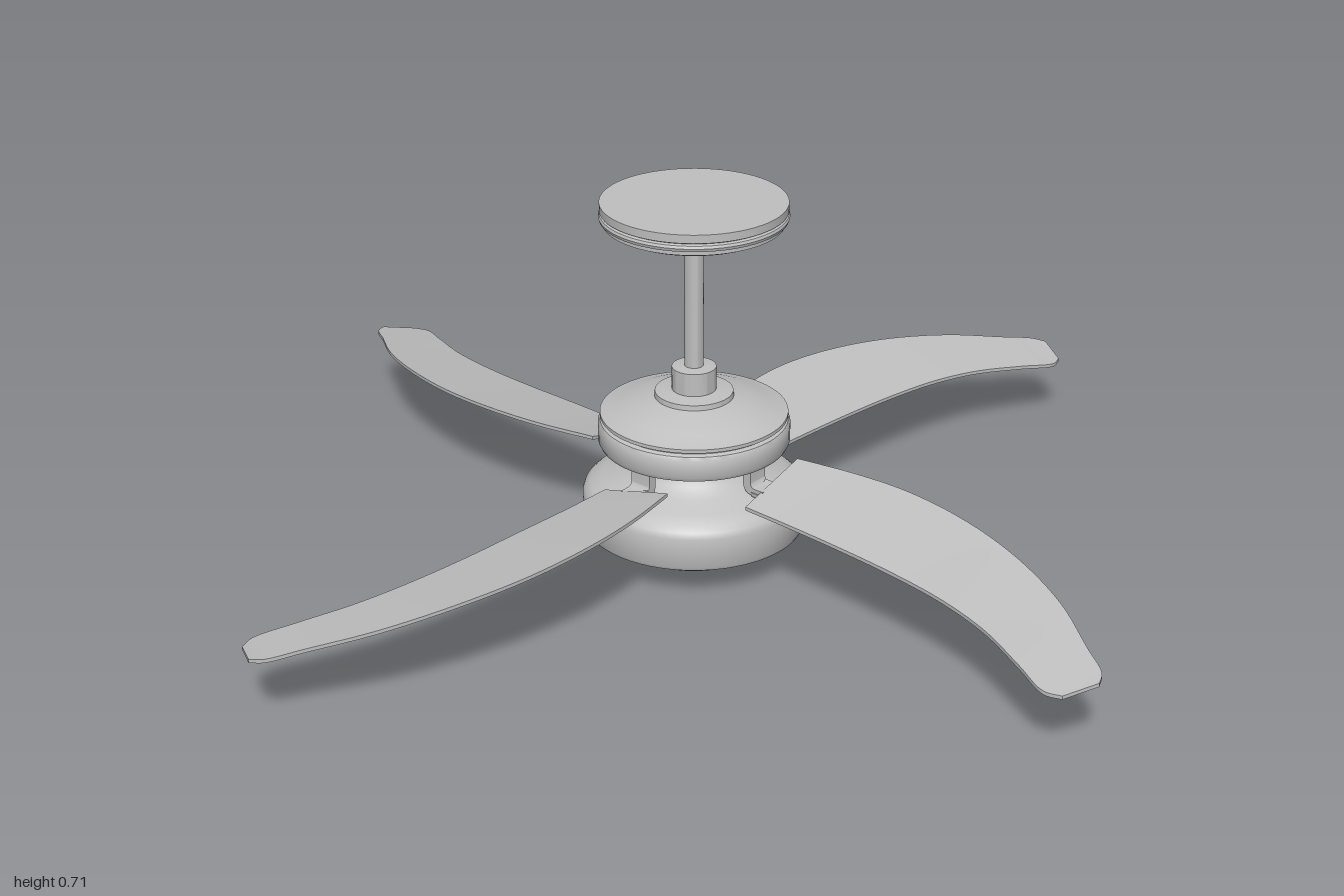
import * as THREE from 'three';
import { toCreasedNormals } from 'three/addons/utils/BufferGeometryUtils.js';

const grey = new THREE.MeshStandardMaterial({ color: 0xc0c0c0 });
grey.name = 'satin grey';

function part(name, geometry, crease = 0.55) {
  const mesh = new THREE.Mesh(toCreasedNormals(geometry, crease), grey);
  mesh.name = name;
  return mesh;
}

// Revolve a bottom-to-top list of [radius, height] pairs
function turned(name, profile) {
  return part(name, new THREE.LatheGeometry(profile.map(([r, y]) => new THREE.Vector2(r, y)), 64));
}

// Curved, pitched blade pointing along +x, lofted between its two edges
function bladeGeometry() {
  const edge = (pts) => new THREE.CatmullRomCurve3(pts.map((p) => new THREE.Vector3(...p)));
  const back = edge([[0.18, 0.21, -0.088], [0.3, 0.209, -0.108], [0.42, 0.207, -0.114], [0.56, 0.199, -0.098],
    [0.7, 0.187, -0.057], [0.83, 0.17, 0.005], [0.93, 0.152, 0.077], [0.985, 0.142, 0.117], [0.997, 0.138, 0.143]]);
  const front = edge([[0.18, 0.168, 0.067], [0.28, 0.166, 0.07], [0.4, 0.164, 0.077], [0.53, 0.16, 0.087],
    [0.65, 0.155, 0.104], [0.76, 0.147, 0.133], [0.86, 0.136, 0.177], [0.93, 0.127, 0.208], [0.962, 0.126, 0.2]]);
  const steps = 40, thick = 0.007, positions = [], index = [];
  for (let i = 0; i <= steps; i++) {
    const b = back.getPoint(i / steps), f = front.getPoint(i / steps);
    positions.push(b.x, b.y, b.z, f.x, f.y, f.z, f.x, f.y - thick, f.z, b.x, b.y - thick, b.z);
    if (i === steps) break;
    for (let k = 0; k < 4; k++) {
      const a = i * 4 + k, c = i * 4 + (k + 1) % 4;
      index.push(a, c, c + 4, a, c + 4, a + 4);
    }
  }
  const e = steps * 4;
  index.push(0, 2, 1, 0, 3, 2, e, e + 1, e + 2, e, e + 2, e + 3);
  const g = new THREE.BufferGeometry();
  g.setAttribute('position', new THREE.Float32BufferAttribute(positions, 3));
  g.setIndex(index);
  return g;
}

// Hook that drops from the motor and turns outward under the blade
function hookGeometry() {
  const s = new THREE.Shape();
  s.moveTo(0.138, 0.228);
  s.lineTo(0.138, 0.19);
  s.quadraticCurveTo(0.138, 0.168, 0.16, 0.168);
  s.lineTo(0.185, 0.168);
  s.lineTo(0.185, 0.182);
  s.lineTo(0.166, 0.182);
  s.quadraticCurveTo(0.155, 0.182, 0.155, 0.195);
  s.lineTo(0.155, 0.228);
  s.closePath();
  return new THREE.ExtrudeGeometry(s, { depth: 0.044, bevelEnabled: false, curveSegments: 8 }).translate(0, 0, -0.022);
}

export function createModel() {
  const fan = new THREE.Group();
  fan.name = 'ceilingFan';

  // Lower housing: shallow bowl, upright rim and flared shoulder
  fan.add(turned('lightBowl', [[0, 0], [0.05, 0.002], [0.1, 0.009], [0.145, 0.022], [0.175, 0.04], [0.19, 0.062]]));
  fan.add(turned('lowerHousing', [[0.186, 0.064], [0.19, 0.058], [0.21, 0.058], [0.213, 0.064], [0.213, 0.122],
    [0.209, 0.134], [0.198, 0.144], [0.175, 0.155], [0.14, 0.168], [0.115, 0.182], [0.1, 0.2], [0.095, 0.23]]));

  // Motor drum with a groove below its domed cover
  fan.add(turned('motorHousing', [[0, 0.214], [0.11, 0.214], [0.125, 0.222], [0.168, 0.222], [0.178, 0.226], [0.182, 0.234],
    [0.182, 0.268], [0.178, 0.275], [0.17, 0.278], [0.17, 0.283], [0.178, 0.283], [0.178, 0.29], [0.165, 0.293],
    [0.14, 0.303], [0.11, 0.313], [0.075, 0.321], [0.074, 0.331], [0.042, 0.335], [0.042, 0.38], [0.018, 0.382]]));

  // Rod, ball joint and ceiling canopy
  const rod = part('downRod', new THREE.CylinderGeometry(0.018, 0.018, 0.26, 32));
  rod.position.y = 0.5;
  fan.add(rod);
  fan.add(turned('ballJoint', [[0.018, 0.618], [0.028, 0.622], [0.036, 0.632], [0.039, 0.645], [0.039, 0.652]]));
  fan.add(turned('ceilingCanopy', [[0, 0.645], [0.045, 0.645], [0.1, 0.652], [0.155, 0.662], [0.168, 0.668], [0.168, 0.675],
    [0.174, 0.677], [0.176, 0.683], [0.174, 0.688], [0.168, 0.69], [0.174, 0.693], [0.174, 0.709], [0, 0.709]]));

  // Four blades with their brackets
  const blade = bladeGeometry(), hook = hookGeometry();
  for (let i = 0; i < 4; i++) {
    const arm = new THREE.Group();
    arm.name = 'bladeArm';
    arm.add(part('blade', blade));
    arm.add(part('bracketHook', hook));
    const plate = part('bracketPlate', new THREE.BoxGeometry(0.125, 0.01, 0.045));
    plate.position.set(0.22, 0.175, 0);
    plate.rotation.x = 0.26;
    arm.add(plate);
    arm.rotation.y = -i * Math.PI / 2;
    fan.add(arm);
  }
  return fan;
}
